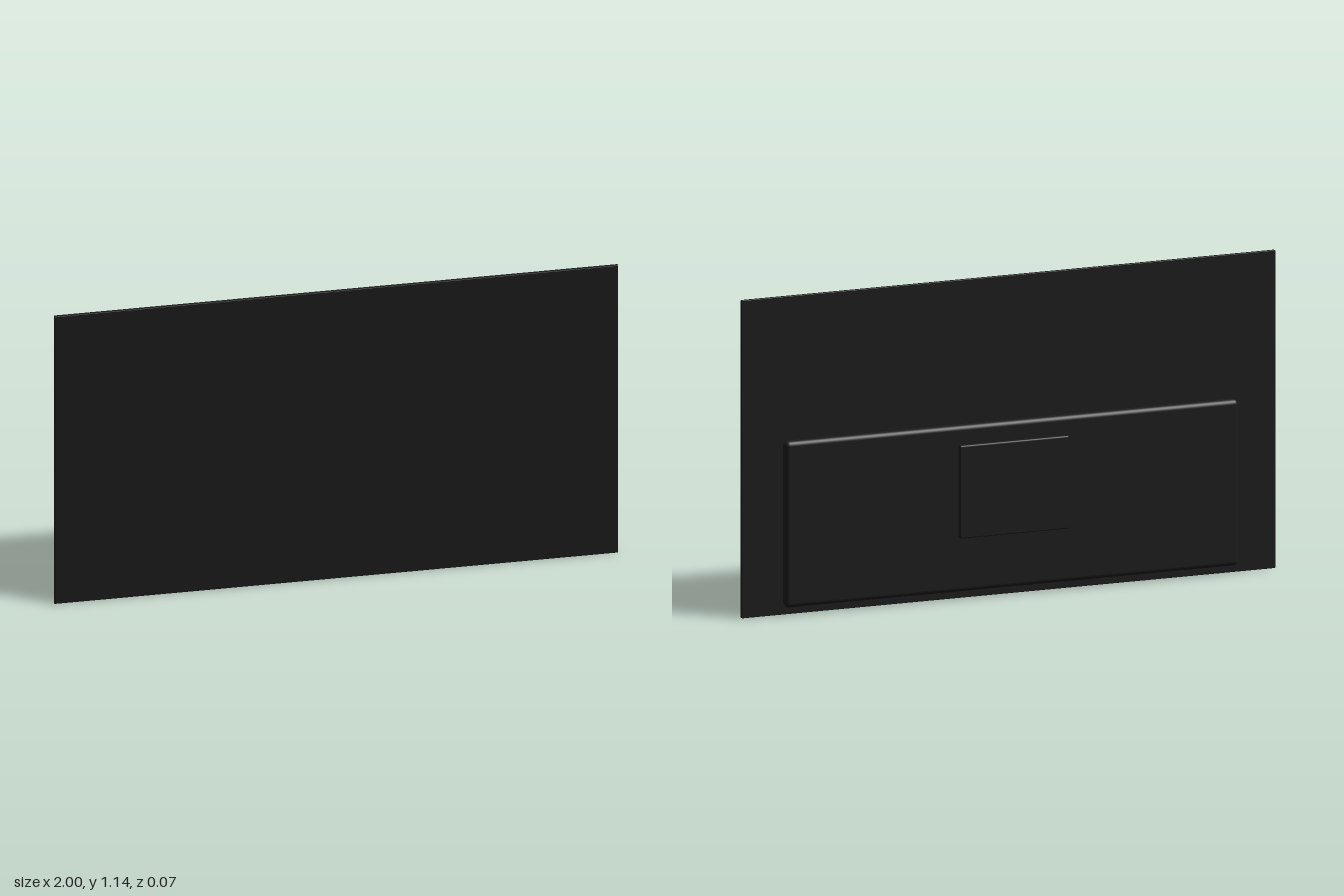
import * as THREE from 'three';
import { RoundedBoxGeometry } from 'three/addons/geometries/RoundedBoxGeometry.js';

export function createModel() {
  const model = new THREE.Group();
  model.name = 'flatScreen';

  const casing = new THREE.MeshStandardMaterial({ color: 0x1b1b1b });
  casing.name = 'casing black';
  const glass = new THREE.MeshStandardMaterial({ color: 0x1c1c1d });
  glass.name = 'screen black';

  // Rounded slab given by its extents on each axis
  const slab = (name, [x0, x1], [y0, y1], [z0, z1], radius, material, segments = 4) => {
    const geometry = new RoundedBoxGeometry(x1 - x0, y1 - y0, z1 - z0, segments, radius);
    const mesh = new THREE.Mesh(geometry, material);
    mesh.name = name;
    mesh.position.set((x0 + x1) / 2, (y0 + y1) / 2, (z0 + z1) / 2);
    model.add(mesh);
  };

  // Thin display panel
  slab('panel', [-1, 1], [0, 1.14], [0.022, 0.0345], 0.002, casing, 2);

  // Glass on the front of the panel
  const screen = new THREE.Mesh(new THREE.BoxGeometry(1.99, 1.13, 0.002), glass);
  screen.name = 'screen';
  screen.position.set(0, 0.57, 0.034);
  model.add(screen);

  // Pillow-edged electronics housing on the lower back
  slab('rearHousing', [-0.85, 0.85], [0.03, 0.627], [-0.016, 0.024], 0.018, casing, 5);

  // Wall mount plate
  slab('mountPlate', [-0.205, 0.205], [0.226, 0.56], [-0.036, -0.014], 0.006, casing, 3);

  return model;
}
